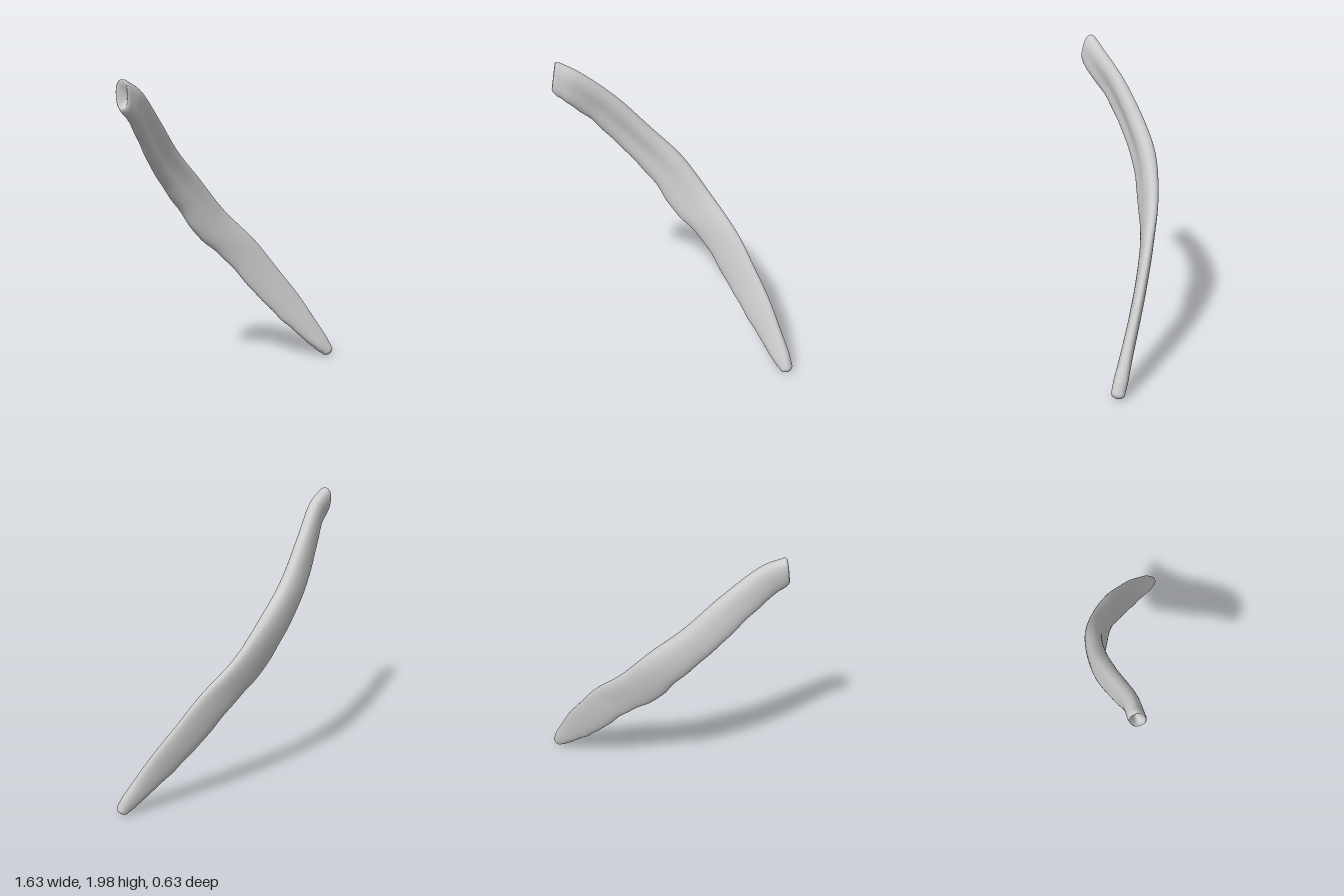
import * as THREE from 'three';

// Matching stations down the bone: upper edge, lower edge, thickness
const STATIONS = [
  [-0.765, 1.985, -0.12, -0.79, 1.79, -0.075, 0.1],
  [-0.65, 1.93, -0.13, -0.72, 1.73, -0.09, 0.105],
  [-0.42, 1.74, -0.2, -0.58, 1.59, -0.165, 0.105],
  [-0.2, 1.51, -0.25, -0.4, 1.38, -0.225, 0.12],
  [0, 1.32, -0.255, -0.2, 1.15, -0.24, 0.12],
  [0.2, 1.08, -0.2, -0.03, 0.92, -0.2, 0.095],
  [0.4, 0.85, -0.08, 0.15, 0.76, -0.15, 0.08],
  [0.52, 0.66, 0.01, 0.33, 0.52, -0.045, 0.075],
  [0.64, 0.46, 0.11, 0.48, 0.32, 0.065, 0.075],
  [0.73, 0.27, 0.2, 0.6, 0.18, 0.155, 0.08],
  [0.79, 0.14, 0.255, 0.69, 0.075, 0.23, 0.09],
  [0.81, 0.07, 0.285, 0.745, 0.025, 0.265, 0.085],
];
const SIDES = 36;
const LENGTH_STEPS = 110;

function boneGeometry() {
  const edge = (k) => new THREE.CatmullRomCurve3(
    STATIONS.map((s) => new THREE.Vector3(s[k], s[k + 1], s[k + 2])));
  const upper = edge(0), lower = edge(3);
  const centreAt = (t) => upper.getPoint(t).add(lower.getPoint(t)).multiplyScalar(0.5);
  const thicknessAt = (t) => {
    const f = t * (STATIONS.length - 1), i = Math.min(Math.floor(f), STATIONS.length - 2);
    return THREE.MathUtils.lerp(STATIONS[i][6], STATIONS[i + 1][6], f - i);
  };

  // Rings as [position, scale, shift along the bone]
  const rings = [[0, 0, 0.03], [0, 0.3, 0.02], [0, 0.6, -0.005], [0, 0.82, -0.022], [0, 0.94, -0.015]];
  for (let i = 0; i <= LENGTH_STEPS; i++) rings.push([i / LENGTH_STEPS, 1, 0]);
  for (let i = 1; i <= 6; i++) {
    const a = (i / 6) * Math.PI / 2;
    rings.push([1, Math.cos(a), 0.032 * Math.sin(a)]);
  }

  const positions = [], index = [];
  rings.forEach(([t, scale, shift], r) => {
    const c = centreAt(t);
    const tangent = centreAt(Math.min(1, t + 0.01)).sub(centreAt(Math.max(0, t - 0.01))).normalize();
    const half = upper.getPoint(t).sub(lower.getPoint(t)).multiplyScalar(0.5);
    const normal = tangent.clone().cross(half).normalize();
    // Shallow groove on the inner face, fading toward the ends
    const groove = 0.4 * Math.exp(-(((t - 0.25) / 0.17) ** 2));
    for (let j = 0; j < SIDES; j++) {
      const a = (j / SIDES) * Math.PI * 2;
      const ca = Math.cos(a), sa = Math.sin(a);
      const across = Math.sign(ca) * Math.abs(ca) ** 0.9;
      let out = Math.sign(sa) * Math.abs(sa) ** 0.8 * thicknessAt(t) / 2;
      if (sa > 0) out *= 1 - groove * Math.exp(-(((across + 0.15) / 0.45) ** 2));
      // Faint bumps along the lower edge
      const ripple = 1 + 0.015 * Math.max(0, -ca) * (Math.sin(t * 95) + Math.sin(t * 61));
      const p = c.clone()
        .addScaledVector(half, across * scale * ripple)
        .addScaledVector(normal, out * scale)
        .addScaledVector(tangent, shift);
      positions.push(p.x, p.y, p.z);
      if (r < rings.length - 1) {
        const k = r * SIDES + j, n = r * SIDES + (j + 1) % SIDES;
        index.push(k, n, k + SIDES, n, n + SIDES, k + SIDES);
      }
    }
  });

  const g = new THREE.BufferGeometry();
  g.setAttribute('position', new THREE.Float32BufferAttribute(positions, 3));
  g.setIndex(index);
  g.computeVertexNormals();
  return g;
}

export function createModel() {
  const bone = new THREE.MeshStandardMaterial({ color: 0xcccccc });
  bone.name = 'bone grey';

  const rib = new THREE.Mesh(boneGeometry(), bone);
  rib.name = 'ribBone';

  const model = new THREE.Group();
  model.name = 'rib';
  model.add(rib);
  return model;
}
